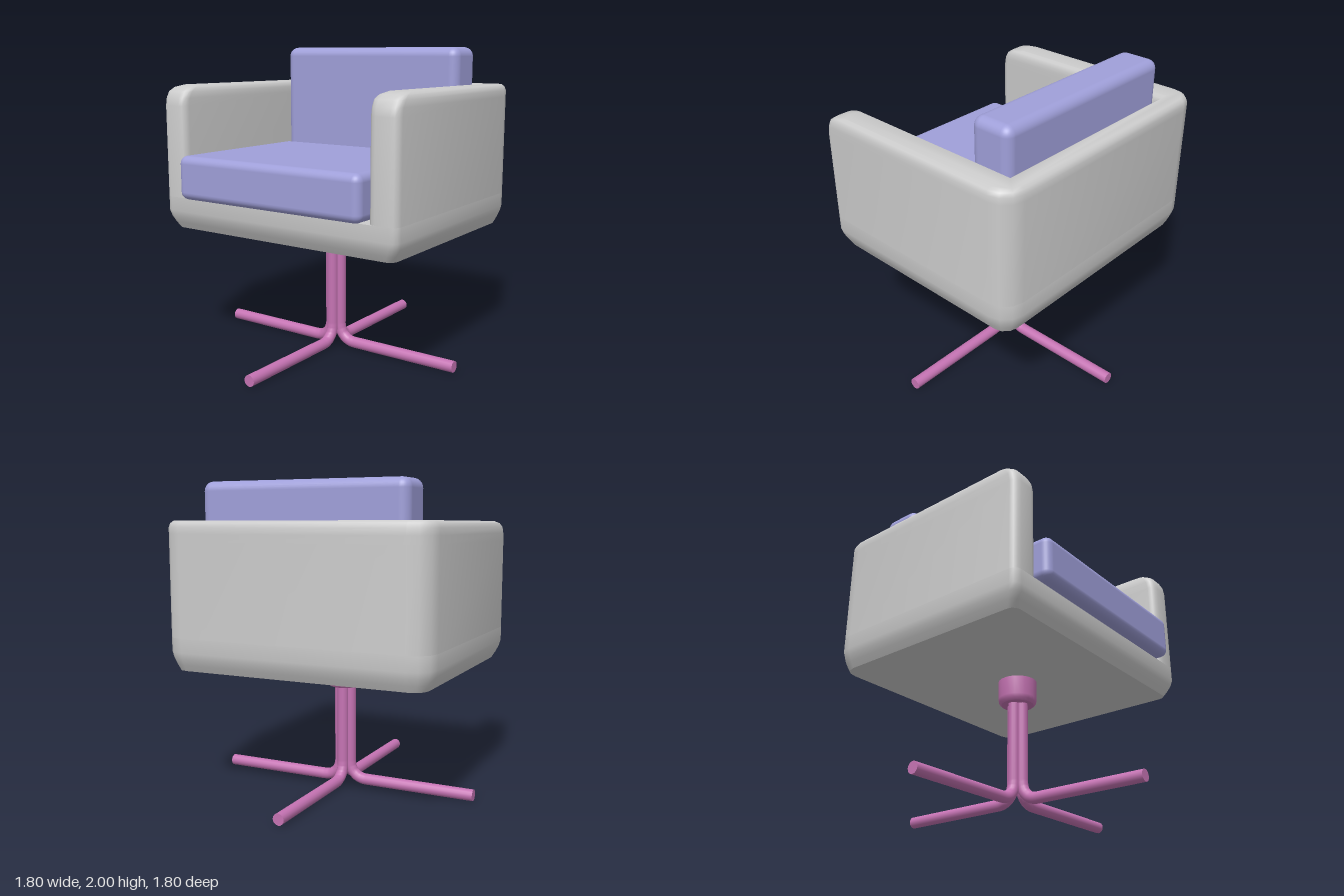
import * as THREE from 'three';
import { toCreasedNormals } from 'three/addons/utils/BufferGeometryUtils.js';
import { RoundedBoxGeometry } from 'three/addons/geometries/RoundedBoxGeometry.js';

const grey = new THREE.MeshStandardMaterial({ color: 0xcccccc });
const fabric = new THREE.MeshStandardMaterial({ color: 0x9f9fd9 });
const metal = new THREE.MeshStandardMaterial({ color: 0xc573b3 });

function addMesh(parent, name, geometry, material) {
  const mesh = new THREE.Mesh(geometry, material);
  mesh.name = name;
  parent.add(mesh);
  return mesh;
}

// Points of a quarter arc in plan; angles in degrees, 0 = +x, 90 = towards the back (-z)
function arc(cx, cz, r, from, to, steps = 3) {
  return Array.from({ length: steps + 1 }, (_, i) => {
    const a = THREE.MathUtils.degToRad(from + (to - from) * i / steps);
    return new THREE.Vector2(cx + r * Math.cos(a), cz - r * Math.sin(a));
  });
}

// Plan outline of the shell, counter-clockwise from above; withOpening gives the U of arms and back
function plan(inset, front, withOpening) {
  const w = 0.88 - inset, f = front - inset, rf = 0.05, rb = 0.14 - inset;
  const points = [
    ...arc(w - rf, f - rf, rf, -90, 0),
    ...arc(0.74, -0.66, rb, 0, 90),
    ...arc(-0.74, -0.66, rb, 90, 180),
    ...arc(-w + rf, f - rf, rf, 180, 270),
  ];
  if (withOpening) {
    const i = 0.69 + inset, b = -0.65 - inset;
    points.push(
      ...arc(-i - rf, f - rf, rf, -90, 0),
      new THREE.Vector2(-i, b), new THREE.Vector2(i, b),
      ...arc(i + rf, f - rf, rf, 180, 270),
    );
  }
  return points;
}

// Skin a stack of outlines [{ y, points }], optionally closing the bottom and the top
function loft(levels, capBottom, capTop) {
  const positions = [];
  const put = (level, i) => positions.push(level.points[i].x, level.y, level.points[i].y);
  const n = levels[0].points.length;
  for (let k = 0; k + 1 < levels.length; k++) {
    const a = levels[k], b = levels[k + 1];
    for (let i = 0; i < n; i++) {
      const j = (i + 1) % n;
      put(a, i); put(a, j); put(b, j);
      put(a, i); put(b, j); put(b, i);
    }
  }
  const cap = (level, up) => {
    const flat = level.points.map((p) => new THREE.Vector2(p.x, -p.y));
    for (const [p, q, r] of THREE.ShapeUtils.triangulateShape(flat, [])) {
      put(level, p); put(level, up ? q : r); put(level, up ? r : q);
    }
  };
  if (capBottom) cap(levels[0], false);
  if (capTop) cap(levels[levels.length - 1], true);
  const geometry = new THREE.BufferGeometry();
  geometry.setAttribute('position', new THREE.Float32BufferAttribute(positions, 3));
  return toCreasedNormals(geometry, 0.75);
}

function createShell() {
  const shell = new THREE.Group();
  shell.name = 'shell';
  // Seat base, tapering in towards the flat underside
  const base = [[0.83, 0.05], [0.87, 0.028], [0.91, 0.01], [0.95, 0], [1.04, 0]]
    .map(([y, inset]) => ({ y, points: plan(inset, 0.69, false) }));
  addMesh(shell, 'seatBase', loft(base, true, true), grey);

  // Arms and back; the front of the arms curves back towards the top
  const walls = [[1.04, 0], [1.63, 0], [1.68, 0], [1.72, 0], [1.745, 0.01], [1.76, 0.03]]
    .map(([y, inset]) => {
      const t = Math.max(0, (y - 1.63) / 0.13);
      const front = 0.58 + 0.11 * Math.sqrt(Math.max(0, 1 - t * t));
      return { y, points: plan(inset, front, true) };
    });
  addMesh(shell, 'armsAndBack', loft(walls, false, true), grey);
  return shell;
}

function createLeg() {
  const leg = new THREE.Group();
  leg.name = 'leg';
  const r = 0.037, bend = 0.11;
  // Upright, quarter bend, then straight out along the floor
  const points = [new THREE.Vector3(r, 0.7, 0)];
  for (let i = 0; i <= 6; i++) {
    const a = i / 6 * Math.PI / 2;
    points.push(new THREE.Vector3(r + bend * (1 - Math.cos(a)), r + bend * (1 - Math.sin(a)), 0));
  }
  points.push(new THREE.Vector3(0.9, r, 0));
  const path = new THREE.CurvePath();
  for (let i = 0; i + 1 < points.length; i++) path.add(new THREE.LineCurve3(points[i], points[i + 1]));
  addMesh(leg, 'legTube', new THREE.TubeGeometry(path, 80, r, 16), metal);
  const end = addMesh(leg, 'legEnd', new THREE.CircleGeometry(r, 16), metal);
  end.position.set(0.9, r, 0);
  end.rotation.y = Math.PI / 2;
  return leg;
}

export function createModel() {
  const chair = new THREE.Group();
  chair.name = 'swivelArmchair';
  chair.add(createShell());

  // Cushions
  const seat = addMesh(chair, 'seatCushion', new RoundedBoxGeometry(1.37, 0.28, 1.12, 4, 0.05), fabric);
  seat.position.set(0, 1.185, 0.205);
  const back = addMesh(chair, 'backCushion', new RoundedBoxGeometry(1.37, 0.955, 0.275, 4, 0.06), fabric);
  back.position.set(0, 1.5225, -0.4925);

  // Hub under the seat
  const hubProfile = [[0, 0.67], [0.105, 0.67], [0.12, 0.685], [0.125, 0.71], [0.125, 0.84]]
    .map(([x, y]) => new THREE.Vector2(x, y));
  addMesh(chair, 'hub', toCreasedNormals(new THREE.LatheGeometry(hubProfile, 24), 0.7), metal);

  // Four bent legs
  for (let i = 0; i < 4; i++) {
    const leg = createLeg();
    leg.rotation.y = i * Math.PI / 2;
    chair.add(leg);
  }
  return chair;
}
